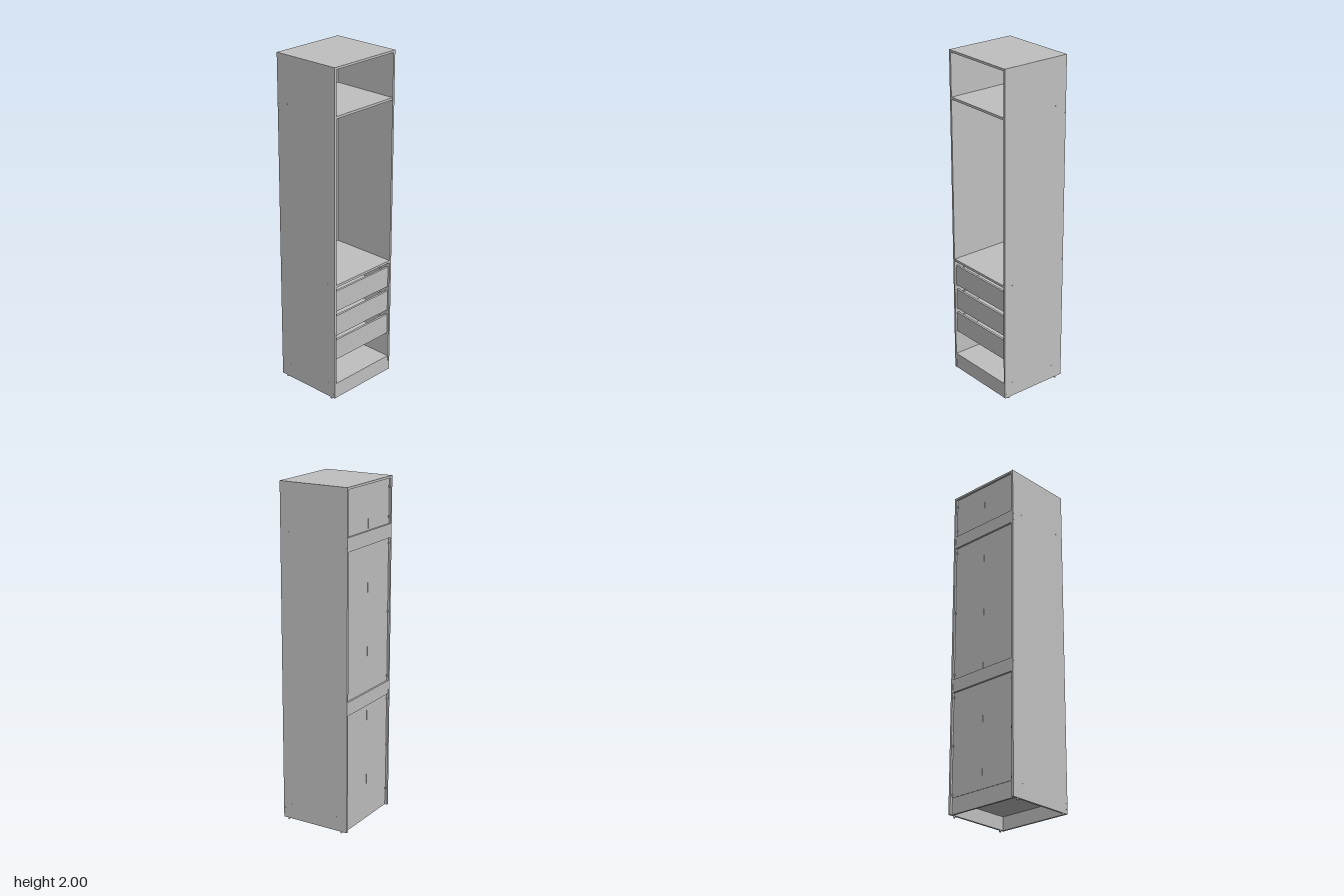
import * as THREE from 'three';

export function createModel() {
  const model = new THREE.Group();
  model.name = 'wardrobe';
  const grey = new THREE.MeshStandardMaterial({ color: 0xc0c0c0 });
  grey.name = 'plain grey';

  // Box given by its minimum and maximum on each axis
  function panel(name, [x0, x1], [y0, y1], [z0, z1], parent = model) {
    const mesh = new THREE.Mesh(new THREE.BoxGeometry(x1 - x0, y1 - y0, z1 - z0), grey);
    mesh.name = name;
    mesh.position.set((x0 + x1) / 2, (y0 + y1) / 2, (z0 + z1) / 2);
    parent.add(mesh);
    return mesh;
  }

  // Small cylinder along the y axis, or along x when lying
  function peg(name, radius, length, x, y, z, lying = false) {
    const mesh = new THREE.Mesh(new THREE.CylinderGeometry(radius, radius, length, 16), grey);
    mesh.name = name;
    mesh.position.set(x, y, z);
    if (lying) mesh.rotation.z = Math.PI / 2;
    model.add(mesh);
    return mesh;
  }

  const inner = 0.225, outer = 0.238, front = 0.214, back = -0.217;
  const span = [-inner, inner];
  const shelves = [[0.09, 0.104], [0.725, 0.739], [1.717, 1.731]];

  // Carcass: top, shelves and plinths
  panel('topPanel', span, [1.987, 2], [back, front]);
  shelves.forEach((y, i) => panel(['bottomPanel', 'middleShelf', 'upperShelf'][i], span, y, [-0.203, 0.212]));
  panel('frontPlinth', span, [0.01, 0.105], [0.2, 0.2125]);
  panel('backPlinth', span, [0.01, 0.09], [-0.203, -0.191]);

  // Thin back halves with a centre joining strip, and stiffening rails behind
  for (const [y0, y1] of [[0.104, 0.725], [0.739, 1.717], [1.731, 1.987]]) {
    panel('backPanelRight', [-inner, -0.001], [y0, y1], [-0.206, -0.203]);
    panel('backPanelLeft', [0.001, inner], [y0, y1], [-0.206, -0.203]);
    panel('backJoint', [-0.003, 0.003], [y0, y1], [-0.203, -0.2015]);
    panel('backJointOutside', [-0.002, 0.002], [y0, y1], [-0.2065, -0.206]);
  }
  panel('backRail', span, [0.72, 0.8], [back, -0.206]);
  panel('backRail', span, [1.65, 1.73], [back, -0.206]);

  // Hanging rail, oval in section
  const rail = peg('hangingRail', 0.012, 2 * inner, 0, 1.672, 0, true);
  rail.scale.z = 0.55;

  // Sides with their feet, screw caps and back clips
  for (const s of [-1, 1]) {
    const sx = s < 0 ? [-outer, -inner] : [inner, outer];
    panel('sidePanel', sx, [0.01, 2], [-0.218, front]);
    for (const z of [-0.178, 0.183]) peg('foot', 0.006, 0.01, s * 0.2315, 0.005, z);

    for (const y of [0.097, 0.732, 1.724]) {
      for (const z of [-0.145, 0.16]) peg('screwCap', 0.003, 0.002, s * 0.2385, y, z, true);
    }
    for (const [y, z] of [[0.035, -0.18], [0.07, -0.18], [0.035, 0.205], [0.07, 0.205],
      [0.74, -0.21], [0.78, -0.21], [1.67, -0.21], [1.71, -0.21]]) {
      peg('screwCap', 0.003, 0.002, s * 0.2385, y, z, true);
    }
    for (const y of [0.12, 0.4, 0.69, 0.83, 1.22, 1.62, 1.77, 1.94]) {
      peg('backClip', 0.004, 0.012, s * 0.22, y, -0.209);
    }
  }

  // Three open-topped drawers on runners
  for (const [y0, y1] of [[0.26, 0.387], [0.415, 0.542], [0.57, 0.698]]) {
    const drawer = new THREE.Group();
    drawer.name = 'drawer';
    model.add(drawer);
    panel('drawerFront', [-0.22, 0.22], [y0, y1], [0.193, 0.206], drawer);
    panel('drawerBack', [-0.2, 0.2], [y0 + 0.015, y1 - 0.02], [-0.192, -0.18], drawer);
    panel('drawerBottom', [-0.2, 0.2], [y0 + 0.018, y0 + 0.023], [-0.18, 0.193], drawer);
    for (const s of [-1, 1]) {
      const side = s < 0 ? [-0.212, -0.2] : [0.2, 0.212];
      const runner = s < 0 ? [-inner, -0.212] : [0.212, inner];
      panel('drawerSide', side, [y0 + 0.015, y1 - 0.02], [-0.192, 0.193], drawer);
      panel('drawerRunner', runner, [y0 + 0.02, y0 + 0.04], [-0.185, 0.19], drawer);
    }
  }

  return model;
}
